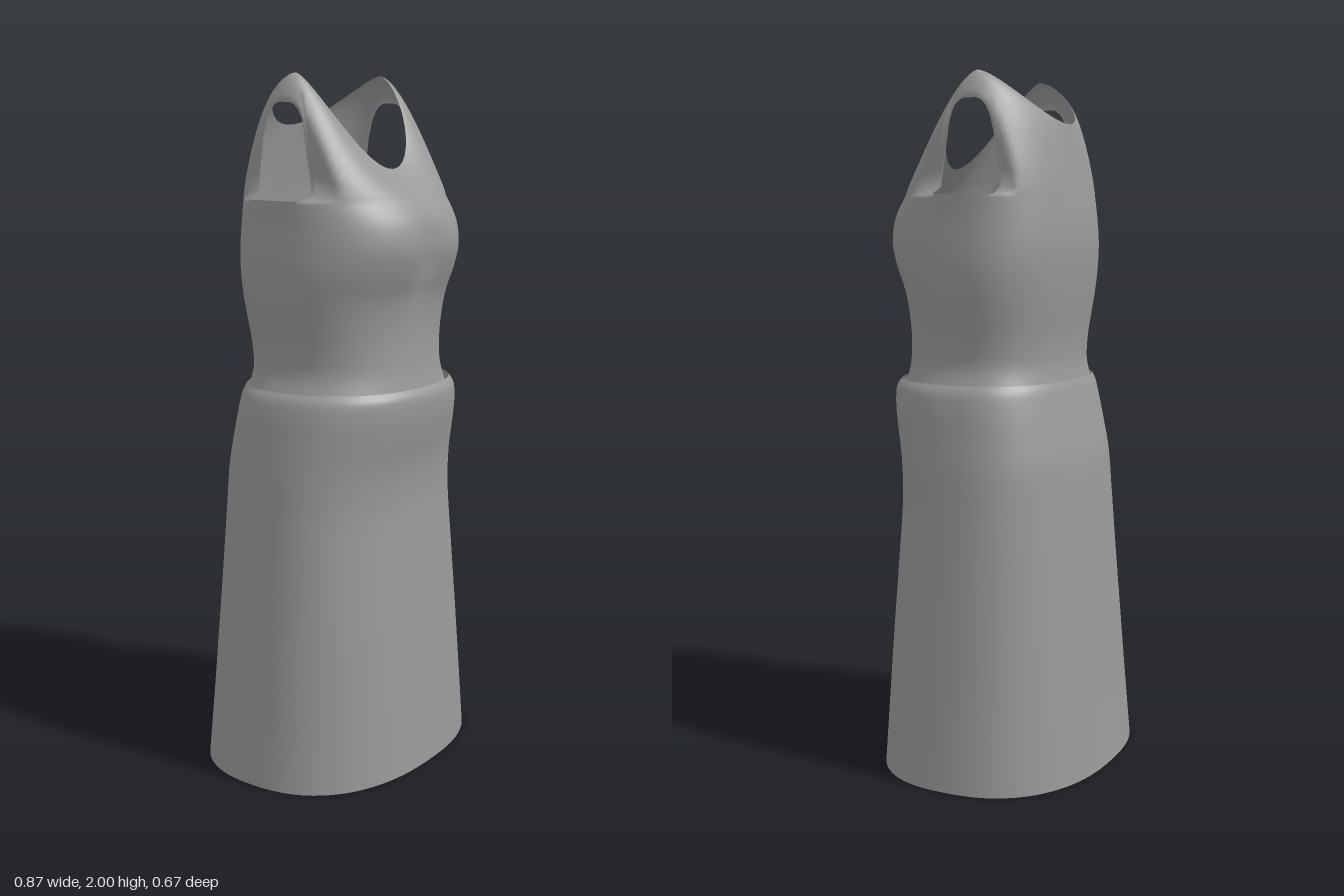
import * as THREE from 'three';

const COLS = 120;

// Cross-section levels: [y, half width, front z, back z]
const SKIRT = [
  [0, .435, .33, .335], [.2, .418, .318, .318], [.4, .402, .305, .302], [.6, .387, .29, .286],
  [.78, .375, .277, .272], [.9, .367, .283, .262], [1.0, .355, .303, .243], [1.06, .347, .313, .23], [1.11, .335, .314, .219],
  [1.135, .318, .3, .21],
];
const BODICE = [
  [1.12, .315, .285, .206], [1.18, .292, .275, .197], [1.25, .295, .27, .2], [1.32, .307, .272, .21],
  [1.39, .319, .284, .22], [1.46, .325, .312, .227], [1.53, .322, .33, .23], [1.6, .317, .318, .225],
  [1.66, .315, .28, .217],
];

// Smoothly interpolated level at t in 0..1
function levelAt(levels, t) {
  const f = t * (levels.length - 1), i = Math.min(Math.floor(f), levels.length - 2), k = f - i;
  const at = n => levels[Math.max(0, Math.min(levels.length - 1, n))];
  return [0, 1, 2, 3].map(c => {
    const a = at(i)[c], b = at(i + 1)[c];
    const ma = (b - at(i - 1)[c]) / 2, mb = (at(i + 2)[c] - a) / 2;
    return (2 * k ** 3 - 3 * k * k + 1) * a + (k ** 3 - 2 * k * k + k) * ma
      + (3 * k * k - 2 * k ** 3) * b + (k ** 3 - k * k) * mb;
  });
}

// Rounded-oval outline of a level, with a soft cleft at the bust
function ovalPoint([y, w, front, back], a) {
  const soft = v => Math.sign(v) * Math.abs(v) ** (2 / 2.4);
  const x = w * soft(Math.cos(a));
  let z = (Math.sin(a) > 0 ? front : back) * soft(Math.sin(a));
  if (z > 0) z -= .022 * Math.exp(-((x / .06) ** 2)) * Math.exp(-(((y - 1.52) / .1) ** 2)) * (z / front);
  return [x, y, z];
}

// Closed tube of rows; quads may be left out to make openings
function tube(rows, pointAt, skip = () => false) {
  const pos = [], idx = [];
  for (let i = 0; i <= rows; i++)
    for (let j = 0; j < COLS; j++) pos.push(...pointAt(i, j));
  for (let i = 0; i < rows; i++)
    for (let j = 0; j < COLS; j++) {
      const n = (j + 1) % COLS;
      if (skip(i, j, n)) continue;
      const a = i * COLS + j, b = i * COLS + n, c = a + COLS, d = b + COLS;
      idx.push(a, c, b, b, c, d);
    }
  const g = new THREE.BufferGeometry();
  g.setAttribute('position', new THREE.Float32BufferAttribute(pos, 3));
  g.setIndex(idx);
  g.computeVertexNormals();
  return g;
}

// Shoulder sheet: runs from the chest ring (t = 0) up and in to the neckline (t = 1)
function shoulderPoint(a, t) {
  const ring = ovalPoint(BODICE[BODICE.length - 1], a);
  const u = Math.sin(a), side = Math.abs(Math.cos(a));
  const neckY = 2 - (u > 0 ? .26 : .14) * Math.abs(u) ** 1.45;
  const x = THREE.MathUtils.lerp(ring[0], .205 * Math.cos(a), t);
  const z = THREE.MathUtils.lerp(ring[2], .182 * u, t);
  const rise = THREE.MathUtils.lerp(t, Math.sin(t * Math.PI / 2) ** .7, side);
  const limit = t > 0 ? .256 : 1;
  return [THREE.MathUtils.clamp(x, -limit, limit), 1.66 + (neckY - 1.66) * rise, z];
}

// Where the sheet begins above the arched armhole
function armholeStart(a) {
  if (Math.abs(Math.cos(a)) < .6) return 0;
  for (let t = 0; t < 1; t += .01) {
    const [, y, z] = shoulderPoint(a, t);
    const r = Math.abs(z) / .088;
    if (r >= 1 || y > 1.66 + .26 * Math.sqrt(1 - r ** 3)) return t;
  }
  return .9;
}

export function createModel() {
  const group = new THREE.Group();
  const fabric = new THREE.MeshStandardMaterial({ color: 0x999999, side: THREE.DoubleSide });
  fabric.name = 'grey fabric';
  const add = (name, geometry) => {
    const mesh = new THREE.Mesh(geometry, fabric);
    mesh.name = name;
    group.add(mesh);
    return mesh;
  };
  const angle = j => j / COLS * Math.PI * 2;

  // Long flared skirt
  add('skirt', tube(54, (i, j) => ovalPoint(levelAt(SKIRT, i / 54), angle(j))));

  // Bodice with shoulder straps, armholes and scooped neck
  const body = 32, top = 16;
  const starts = Array.from({ length: COLS }, (_, j) => armholeStart(angle(j)));
  add('bodice', tube(body + top, (i, j) => {
    if (i <= body) return ovalPoint(levelAt(BODICE, i / body), angle(j));
    const k = (i - body - 1) / (top - 1), t0 = Math.max(starts[j], .015);
    return shoulderPoint(angle(j), t0 + (1 - t0) * k);
  }, (i, j, n) => i === body && (starts[j] > 0 || starts[n] > 0)));

  // Hem panel closing the skirt, with two leg openings
  const outline = Array.from({ length: COLS }, (_, j) => {
    const [x, , z] = ovalPoint(SKIRT[0], angle(j));
    return new THREE.Vector2(x, z);
  });
  const panel = new THREE.Shape(outline);
  for (const s of [-1, 1]) {
    const hole = new THREE.Path();
    hole.absellipse(s * .19, .035, .092, .095, 0, Math.PI * 2, true);
    panel.holes.push(hole);
  }
  const hem = new THREE.ShapeGeometry(panel, 24);
  hem.rotateX(Math.PI / 2);
  add('hemPanel', hem);

  return group;
}
